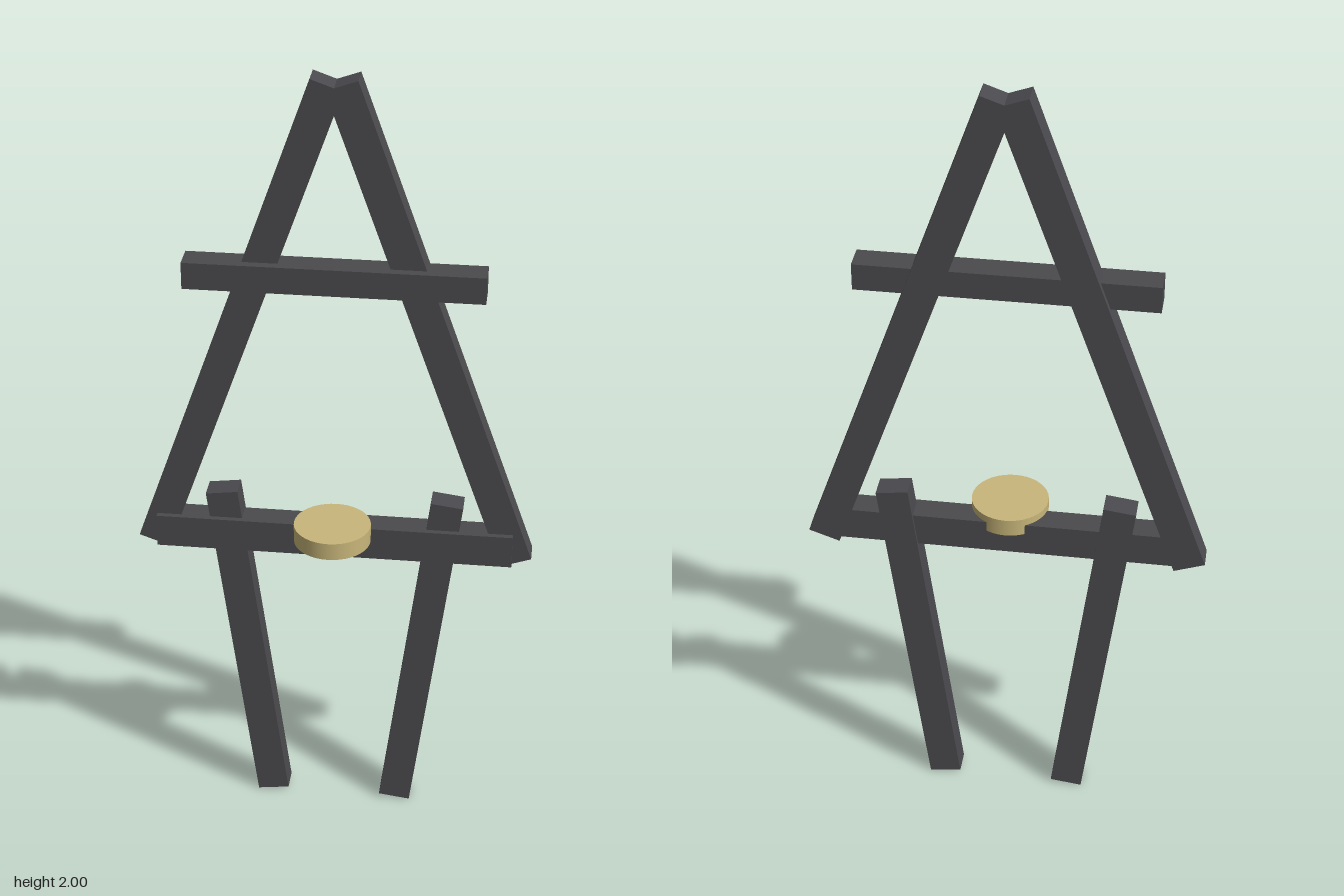
import * as THREE from 'three';

export function createModel() {
  const model = new THREE.Group();
  const darkTimber = new THREE.MeshStandardMaterial({ color: 0x4b4a4e });
  darkTimber.name = 'darkTimber';
  const paleGold = new THREE.MeshStandardMaterial({ color: 0xc8b67a });
  paleGold.name = 'paleGold';

  // A straight squared beam, tilted in the front plane
  function beam(name, size, position, tilt = 0) {
    const mesh = new THREE.Mesh(new THREE.BoxGeometry(...size), darkTimber);
    mesh.name = name;
    mesh.position.set(...position);
    mesh.rotation.z = tilt;
    model.add(mesh);
  }

  // Mirrored pairs: rafters meeting at the apex, legs converging at the floor
  for (const [side, s] of [['left', 1], ['right', -1]]) {
    beam(side + 'Rafter', [0.08, 1.3, 0.06], [s * 0.235, 1.375, -0.06], s * 0.342);
    beam(side + 'Leg', [0.08, 0.915, 0.06], [s * 0.22, 0.459, -0.06], -s * 0.13);
  }

  // Horizontal rails
  beam('upperCrossbar', [0.714, 0.067, 0.067], [0, 1.511, -0.0415]);
  beam('lowerCrossbar', [0.886, 0.085, 0.066], [0, 0.8, -0.049]);

  // Round disc resting in the lower rail
  const disc = new THREE.Mesh(new THREE.CylinderGeometry(0.095, 0.095, 0.045, 40), paleGold);
  disc.name = 'disc';
  disc.position.set(0, 0.839, 0);
  model.add(disc);

  return model;
}
